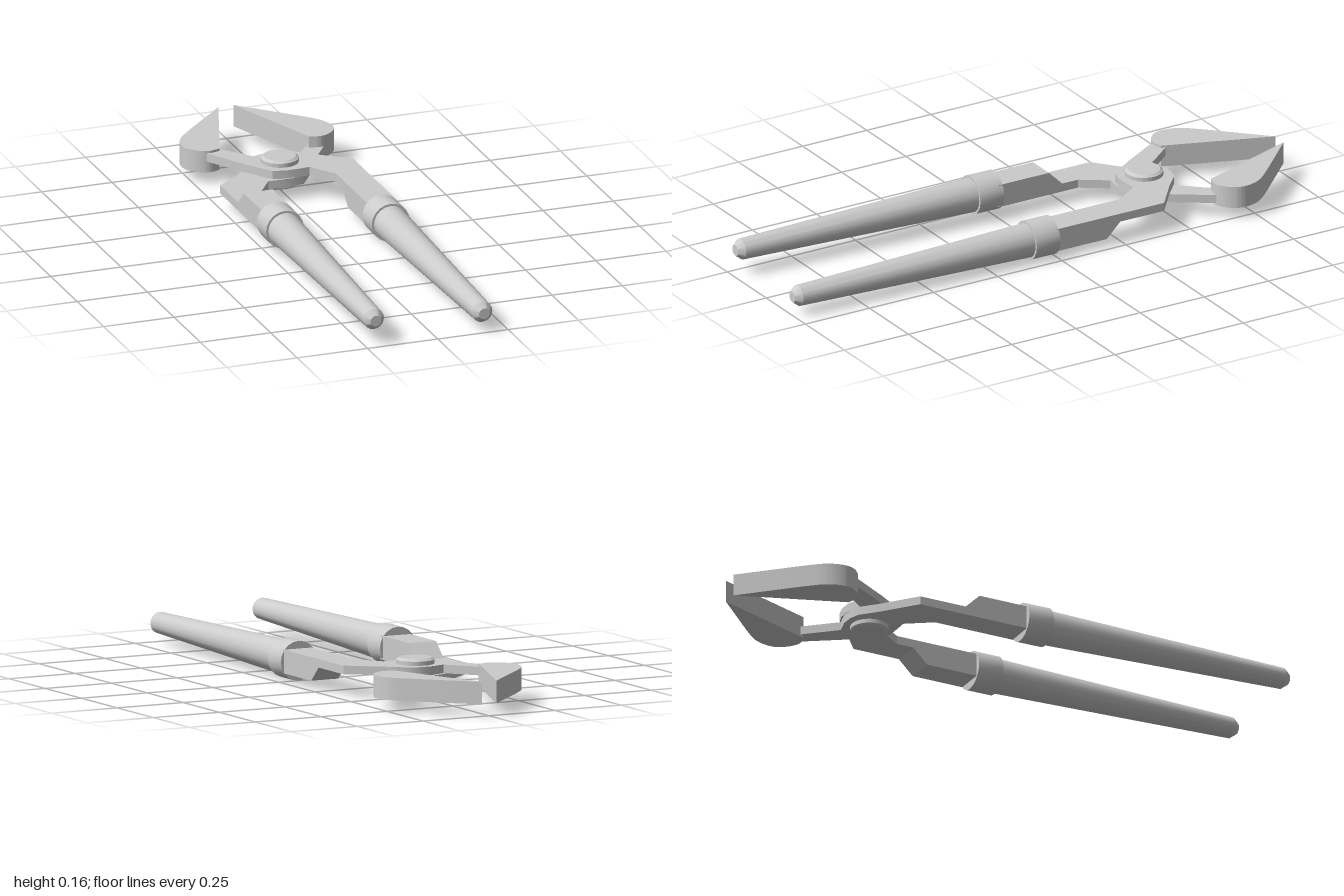
import * as THREE from 'three';
import { toCreasedNormals } from 'three/addons/utils/BufferGeometryUtils.js';

const PIVOT = { x: -0.007, y: 0.081, z: -0.476 };
const material = new THREE.MeshStandardMaterial({ color: 0xcccccc });

function part(name, geometry) {
  const mesh = new THREE.Mesh(toCreasedNormals(geometry, 0.5), material);
  mesh.name = name;
  return mesh;
}

// Flat plate: outline drawn in plan (x, z), standing between two heights
function plate(shape, y0, y1) {
  return new THREE.ExtrudeGeometry(shape, { depth: y1 - y0, bevelEnabled: false, curveSegments: 10 })
    .rotateX(-Math.PI / 2).translate(0, y0, 0);
}

const turned = (points, sides) =>
  new THREE.LatheGeometry(points.map(([r, y]) => new THREE.Vector2(r, y)), sides);

const plan = (points) => points.map(([x, z]) => new THREE.Vector2(x, -z));

// One lever: handle on +x, crossing the pivot to a jaw on -x.
// Coordinates are relative to the pivot in x and y.
function createHalf(name, { gripStart, gripEnd, zStart, zEnd, jawShift }) {
  const half = new THREE.Group();
  half.name = name;

  // Thin lever running from the handle through the joint to the jaw neck
  half.add(part('lever', plate(new THREE.Shape(plan([
    [0.134, 0.01], [0.237, 0.01], [0.237, -0.41], [0.118, -0.505], [0.066, -0.553],
    [0.03, -0.564], [-0.015, -0.564], [-0.067, -0.548], [-0.145 + jawShift, -0.65],
    [-0.21 + jawShift, -0.645], [-0.12, -0.49], [-0.056, -0.396], [-0.01, -0.386],
    [0.035, -0.386], [0.073, -0.389], [0.134, -0.3],
  ])), 0.001, 0.03)));

  // Thickened shank with a sloping step
  const side = new THREE.Shape([[0.01, -0.05], [0.01, 0.002], [-0.24, 0.002], [-0.187, -0.05]]
    .map(([z, y]) => new THREE.Vector2(z, y)));
  half.add(part('shank', new THREE.ExtrudeGeometry(side, { depth: 0.103, bevelEnabled: false })
    .rotateY(-Math.PI / 2).translate(0.237, 0, 0)));

  // Jaw: straight inner face, curved back
  const jaw = new THREE.Shape();
  const back = plan([[-0.15, -0.636], [-0.19, -0.627], [-0.226, -0.643], [-0.255, -0.68],
    [-0.257, -0.725], [-0.236, -0.775], [-0.183, -0.835]]);
  jaw.moveTo(-0.018, 1);
  jaw.lineTo(back[0].x, back[0].y);
  jaw.splineThru(back.slice(1));
  jaw.lineTo(-0.018, 1);
  const jawMesh = part('jaw', plate(jaw, -0.038, 0.038));
  jawMesh.position.x = jawShift;
  half.add(jawMesh);

  // Tapered grip with a collar
  const length = zEnd - zStart;
  const grip = part('grip', turned([
    [0, 0], [0.067, 0], [0.067, 0.092], [0.059, 0.092],
    [0.036, length - 0.022], [0.019, length], [0, length],
  ], 20).rotateX(Math.PI / 2));
  grip.position.set(gripStart, -0.011, zStart);
  grip.rotation.y = Math.atan2(gripEnd - gripStart, length);
  half.add(grip);
  return half;
}

export function createModel() {
  const model = new THREE.Group();
  model.name = 'pincers';

  const upper = createHalf('upperHalf',
    { gripStart: 0.182, gripEnd: 0.173, zStart: 0, zEnd: 1, jawShift: -0.003 });
  const lower = createHalf('lowerHalf',
    { gripStart: 0.19, gripEnd: 0.209, zStart: -0.008, zEnd: 0.99, jawShift: -0.015 });
  lower.rotation.z = Math.PI;
  for (const half of [upper, lower]) {
    half.position.set(PIVOT.x, PIVOT.y, 0);
    model.add(half);
  }

  // Rivet through the joint
  const rivet = part('rivet', turned([
    [0, -0.051], [0.054, -0.051], [0.064, -0.044], [0.064, 0.044], [0.054, 0.051], [0, 0.051],
  ], 32));
  rivet.position.set(PIVOT.x, PIVOT.y, PIVOT.z);
  model.add(rivet);
  return model;
}
